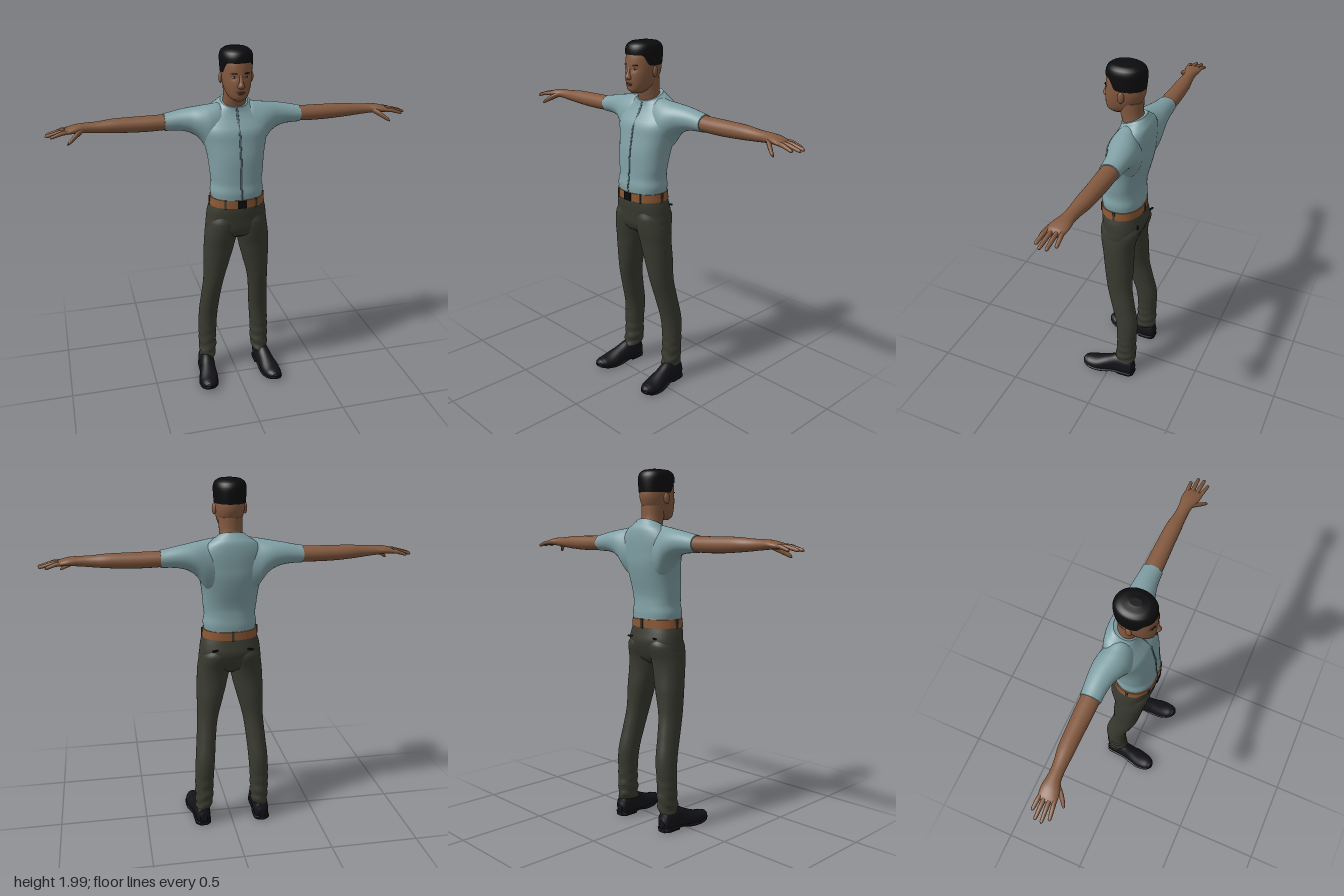
import * as THREE from 'three';

const mat = (name, hex) => {
  const m = new THREE.MeshStandardMaterial({ color: hex });
  m.name = name;
  return m;
};

// Smooth body through rings [t, centreU, centreV, radiusU, radiusV], t ascending.
// Axis 'y': u = x, v = z. Axis 'x': u = z, v = y. Axis 'z': u = y, v = x.
function loft(axis, rings, { n = 32, e = 1, warp = null, steps = 4 } = {}) {
  const cr = (a, b, c, d, t) =>
    0.5 * (2 * b + (c - a) * t + (2 * a - 5 * b + 4 * c - d) * t * t + (3 * b - a - 3 * c + d) * t ** 3);
  const at = i => rings[Math.min(Math.max(i, 0), rings.length - 1)];
  const rows = [];
  for (let i = 0; i < rings.length - 1; i++) {
    for (let s = 0; s < steps; s++) {
      const k = s / steps;
      rows.push(at(i).map((b, c) => c === 0
        ? b + (at(i + 1)[0] - b) * k
        : cr(at(i - 1)[c], b, at(i + 1)[c], at(i + 2)[c], k)));
    }
  }
  rows.push(at(rings.length - 1));
  const pos = [], idx = [];
  const put = (u, t, v) => {
    const p = axis === 'y' ? new THREE.Vector3(u, t, v)
      : axis === 'x' ? new THREE.Vector3(t, v, u) : new THREE.Vector3(v, u, t);
    if (warp) warp(p);
    pos.push(p.x, p.y, p.z);
  };
  const pw = c => Math.sign(c) * Math.abs(c) ** e;
  const ring = ([t, cu, cv, ru, rv]) => {
    for (let j = 0; j < n; j++) {
      const a = (j / n) * Math.PI * 2;
      put(cu + ru * pw(Math.cos(a)), t, cv + rv * pw(Math.sin(a)));
    }
  };
  rows.forEach(ring);
  for (let i = 0; i < rows.length - 1; i++) {
    for (let j = 0; j < n; j++) {
      const a = i * n + j, b = i * n + (j + 1) % n;
      idx.push(a, a + n, b, b, a + n, b + n);
    }
  }
  // End caps with their own corners, so the rims stay sharp
  [rows[0], rows[rows.length - 1]].forEach((r, end) => {
    const s = pos.length / 3;
    ring(r);
    put(r[1], r[0], r[2]);
    for (let j = 0; j < n; j++) {
      const a = s + j, b = s + (j + 1) % n;
      if (end) idx.push(a, s + n, b); else idx.push(a, b, s + n);
    }
  });
  const g = new THREE.BufferGeometry();
  g.setAttribute('position', new THREE.Float32BufferAttribute(pos, 3));
  g.setIndex(idx);
  g.computeVertexNormals();
  return g;
}

// Copy on the other side of the body
function mirrored(g) {
  const m = g.clone().scale(-1, 1, 1);
  const a = m.index.array;
  for (let i = 0; i < a.length; i += 3) [a[i + 1], a[i + 2]] = [a[i + 2], a[i + 1]];
  m.computeVertexNormals();
  return m;
}

const blob = (x, y, z, rx, ry, rz, turn = 0) =>
  new THREE.SphereGeometry(1, 20, 14).scale(rx, ry, rz).rotateY(turn).translate(x, y, z);
const box = (x, y, z, w, h, d, turn = 0) =>
  new THREE.BoxGeometry(w, h, d).rotateY(turn).translate(x, y, z);

export function createModel() {
  const skin = mat('skin', 0x83593f), shirt = mat('shirt', 0x80a0a5), seam = mat('shirtSeam', 0x4a6065);
  const cloth = mat('trousers', 0x393a30), leather = mat('beltLeather', 0x8a5734);
  const black = mat('black', 0x0c0c0e), shoeMat = mat('shoeLeather', 0x131318);
  const eyeWhite = mat('eyeWhite', 0xa89c92), lip = mat('lips', 0x6b3f33);

  const model = new THREE.Group();
  model.name = 'standingMan';
  const add = (name, g, m) => {
    const mesh = new THREE.Mesh(g, m);
    mesh.name = name;
    model.add(mesh);
  };
  const pair = (name, g, m) => {
    add(name + 'Left', g, m);
    add(name + 'Right', mirrored(g), m);
  };

  // Head with shallow eye sockets
  const sockets = p => {
    if (p.z > 0) p.z -= 0.007 * Math.exp(-(((Math.abs(p.x) - 0.034) / 0.018) ** 2) - ((p.y - 1.845) / 0.014) ** 2);
  };
  add('head', loft('y', [
    [1.715, 0, 0.022, 0.026, 0.036], [1.73, 0, 0.015, 0.046, 0.062], [1.755, 0, 0, 0.061, 0.083],
    [1.79, 0, -0.012, 0.072, 0.098], [1.83, 0, -0.02, 0.079, 0.105], [1.87, 0, -0.022, 0.081, 0.104],
    [1.92, 0, -0.025, 0.079, 0.099], [1.96, 0, -0.025, 0.06, 0.075]], { n: 56, e: 0.95, warp: sockets }), skin);
  add('neck', loft('y', [
    [1.62, 0, -0.075, 0.068, 0.058], [1.67, 0, -0.07, 0.065, 0.06],
    [1.72, 0, -0.056, 0.062, 0.06], [1.79, 0, -0.05, 0.064, 0.066]]), skin);
  add('nose', loft('y', [
    [1.786, 0, 0.08, 0.01, 0.01], [1.792, 0, 0.082, 0.018, 0.017], [1.801, 0, 0.083, 0.018, 0.021],
    [1.82, 0, 0.082, 0.011, 0.015], [1.855, 0, 0.079, 0.009, 0.006]], { n: 20 }), skin);
  add('upperLip', blob(0, 1.768, 0.077, 0.024, 0.005, 0.011), lip);
  add('lowerLip', blob(0, 1.76, 0.077, 0.021, 0.005, 0.011), lip);
  pair('ear', blob(0.083, 1.828, -0.028, 0.01, 0.03, 0.018, 0.3), skin);
  pair('eye', blob(0.034, 1.845, 0.067, 0.013, 0.0055, 0.006, 0.45), eyeWhite);
  pair('iris', blob(0.034, 1.845, 0.071, 0.005, 0.005, 0.0035, 0.45), black);
  pair('brow', blob(0.035, 1.864, 0.074, 0.018, 0.003, 0.005, 0.5), black);

  // Short hair, raised at the forehead
  add('hair', loft('y', [
    [1.855, 0, -0.027, 0.083, 0.101], [1.9, 0, -0.026, 0.086, 0.106], [1.94, 0, -0.026, 0.087, 0.106],
    [1.965, 0, -0.026, 0.079, 0.096], [1.98, 0, -0.026, 0.058, 0.072], [1.986, 0, -0.026, 0.02, 0.03]],
  { n: 48, e: 0.95, warp: p => { p.y = Math.max(p.y, 1.86 + 0.055 * THREE.MathUtils.smoothstep(p.z, 0.005, 0.045)); } }), black);

  // Shirt body, with a collar that rises at the back
  const collar = p => {
    p.y -= 0.4 * (p.z + 0.07) * THREE.MathUtils.clamp((p.y - 1.56) / 0.13, 0, 1);
  };
  add('shirtBody', loft('y', [
    [1.168, 0, -0.018, 0.143, 0.112], [1.21, 0, -0.018, 0.148, 0.114], [1.255, 0, -0.02, 0.141, 0.109],
    [1.31, 0, -0.022, 0.147, 0.108], [1.4, 0, -0.035, 0.156, 0.116], [1.48, 0, -0.05, 0.172, 0.117],
    [1.54, 0, -0.057, 0.185, 0.113], [1.6, 0, -0.072, 0.178, 0.1], [1.645, 0, -0.08, 0.143, 0.085],
    [1.68, 0, -0.074, 0.094, 0.068], [1.695, 0, -0.07, 0.074, 0.064]], { n: 56, e: 0.88, warp: collar }), shirt);
  // Shoulders and sleeves in one sweep from cuff to cuff
  const half = [
    [0.07, -0.07, 1.53, 0.08, 0.148], [0.14, -0.075, 1.545, 0.09, 0.131], [0.19, -0.085, 1.578, 0.083, 0.09],
    [0.24, -0.095, 1.592, 0.07, 0.068], [0.3, -0.1, 1.594, 0.06, 0.055], [0.378, -0.1, 1.588, 0.054, 0.046]];
  add('sleeves', loft('x', [
    ...half.map(([x, ...r]) => [-x, ...r]).reverse(), [0, -0.07, 1.5, 0.07, 0.1], ...half], { n: 40 }), shirt);
  add('placket', loft('y', [
    [1.175, 0.002, 0.093, 0.006, 0.004], [1.21, 0.002, 0.095, 0.006, 0.004], [1.255, 0.002, 0.088, 0.006, 0.004],
    [1.31, 0.002, 0.085, 0.006, 0.004], [1.4, 0.002, 0.08, 0.006, 0.004], [1.48, 0.002, 0.066, 0.006, 0.004],
    [1.54, 0.002, 0.055, 0.006, 0.004], [1.582, 0.002, 0.029, 0.006, 0.004], [1.625, 0.002, 0.005, 0.006, 0.004],
    [1.66, 0.002, -0.008, 0.006, 0.004]], { n: 10 }), seam);

  // Arms and hands
  pair('arm', loft('x', [
    [0.35, -0.1, 1.588, 0.049, 0.041], [0.45, -0.1, 1.586, 0.048, 0.042], [0.55, -0.1, 1.586, 0.045, 0.041],
    [0.65, -0.098, 1.588, 0.042, 0.037], [0.73, -0.093, 1.588, 0.034, 0.03], [0.79, -0.09, 1.59, 0.035, 0.026],
    [0.84, -0.085, 1.59, 0.046, 0.022], [0.88, -0.08, 1.585, 0.048, 0.017], [0.905, -0.078, 1.58, 0.044, 0.01]]), skin);
  [[-0.115, -0.124, 0.962], [-0.092, -0.094, 0.997], [-0.067, -0.061, 1], [-0.044, -0.031, 0.975]].forEach(([z0, z1, x1], i) => {
    const row = (k, y, r) => [0.875 + (x1 - 0.875) * k, z0 + (z1 - z0) * k, y, r, r];
    pair('finger' + (i + 1), loft('x', [
      row(0, 1.585, 0.011), row(0.4, 1.582, 0.011), row(0.75, 1.572, 0.0095), row(0.94, 1.567, 0.008), row(1, 1.565, 0.002)],
    { n: 12 }), skin);
  });
  pair('thumb', loft('x', [
    [0.8, -0.066, 1.588, 0.012, 0.014], [0.835, -0.042, 1.572, 0.017, 0.016], [0.865, -0.018, 1.552, 0.013, 0.013],
    [0.885, -0.006, 1.538, 0.009, 0.009], [0.893, -0.002, 1.532, 0.002, 0.002]], { n: 14 }), skin);

  // Trousers: hips and two legs, creased near the hem
  add('hips', loft('y', [
    [0.925, 0, -0.025, 0.04, 0.05], [0.95, 0, -0.022, 0.125, 0.085], [0.99, 0, -0.022, 0.172, 0.105],
    [1.05, 0, -0.028, 0.17, 0.117], [1.1, 0, -0.022, 0.163, 0.116], [1.145, 0, -0.018, 0.149, 0.112]],
  { n: 48, e: 0.9 }), cloth);
  const folds = p => {
    const w = THREE.MathUtils.clamp((0.36 - p.y) / 0.15, 0, 1);
    p.x += 0.003 * w * Math.sin(p.y * 110 + p.z * 25);
    p.z += 0.003 * w * Math.sin(p.y * 95 + p.x * 30);
  };
  pair('trouserLeg', loft('y', [
    [0.105, 0.167, -0.093, 0.046, 0.062], [0.16, 0.163, -0.1, 0.051, 0.061], [0.27, 0.162, -0.102, 0.053, 0.058],
    [0.4, 0.155, -0.099, 0.055, 0.064], [0.54, 0.143, -0.068, 0.055, 0.069], [0.65, 0.131, -0.044, 0.059, 0.074],
    [0.79, 0.113, -0.033, 0.077, 0.083], [0.88, 0.1, -0.025, 0.087, 0.087], [0.95, 0.09, -0.021, 0.092, 0.097],
    [1.03, 0.08, -0.027, 0.088, 0.112], [1.08, 0.075, -0.025, 0.07, 0.1]], { n: 36, e: 0.95, steps: 8, warp: folds }), cloth);
  pair('pocketWelt', box(0.082, 1.075, -0.128, 0.065, 0.008, 0.008, 0.4), black);

  // Belt, buckle and loops
  add('belt', loft('y', [[1.13, 0, -0.018, 0.156, 0.118], [1.176, 0, -0.018, 0.15, 0.118]], { n: 48, e: 0.9 }), leather);
  add('buckle', box(0.003, 1.153, 0.1, 0.05, 0.044, 0.01), black);
  pair('beltLoopFront', box(0.085, 1.152, 0.082, 0.011, 0.052, 0.012, 0.4), cloth);
  pair('beltLoopSide', box(0.153, 1.152, -0.018, 0.01, 0.052, 0.012), cloth);
  add('beltLoopBack', box(0, 1.152, -0.136, 0.012, 0.052, 0.01), cloth);

  // Shoes with flat soles and a lifted toe
  const toe = p => { p.y += 2.2 * Math.max(0, p.z - 0.08) ** 2; };
  pair('shoe', loft('z', [
    [-0.157, 0.05, 0.175, 0.025, 0.022], [-0.145, 0.055, 0.175, 0.058, 0.038], [-0.1, 0.06, 0.175, 0.07, 0.045],
    [-0.045, 0.058, 0.178, 0.07, 0.045], [0.01, 0.045, 0.185, 0.057, 0.048], [0.07, 0.033, 0.193, 0.044, 0.055],
    [0.13, 0.026, 0.199, 0.033, 0.046], [0.158, 0.022, 0.202, 0.022, 0.029], [0.168, 0.02, 0.203, 0.006, 0.008]],
  { warp: p => { p.y = Math.max(p.y, 0.014); toe(p); } }), shoeMat);
  pair('sole', loft('z', [
    [-0.158, 0.017, 0.175, 0.007, 0.024], [-0.145, 0.017, 0.175, 0.007, 0.043], [-0.09, 0.017, 0.175, 0.007, 0.049],
    [-0.03, 0.017, 0.181, 0.007, 0.048], [0.02, 0.009, 0.188, 0.009, 0.054], [0.07, 0.009, 0.194, 0.009, 0.059],
    [0.13, 0.009, 0.2, 0.009, 0.049], [0.16, 0.009, 0.203, 0.009, 0.029], [0.17, 0.009, 0.204, 0.006, 0.01]],
  { e: 0.6, warp: toe }), shoeMat);
  pair('heel', loft('z', [
    [-0.157, 0.009, 0.175, 0.009, 0.026], [-0.14, 0.009, 0.175, 0.009, 0.044], [-0.06, 0.009, 0.177, 0.009, 0.047]],
  { e: 0.5 }), shoeMat);

  return model;
}
